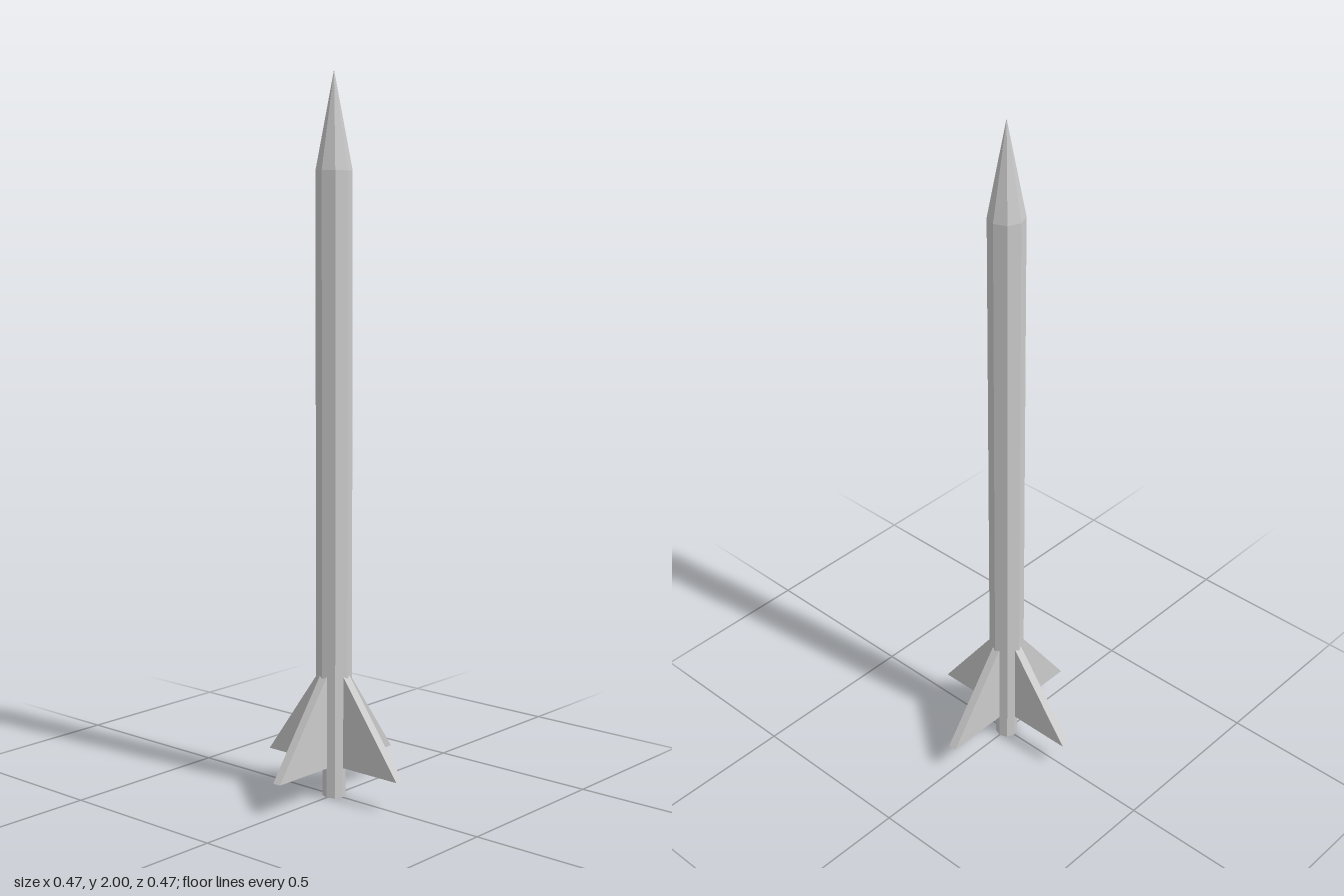
import * as THREE from 'three';

export function createModel() {
  const model = new THREE.Group();
  const material = new THREE.MeshStandardMaterial({ color: 0xcccccc, flatShading: true });

  // Eight-sided section standing between two heights
  function section(name, topRadius, bottomRadius, bottom, top, open = false) {
    const geometry = new THREE.CylinderGeometry(topRadius, bottomRadius, top - bottom, 8, 1, open);
    const mesh = new THREE.Mesh(geometry, material);
    mesh.name = name;
    mesh.position.y = (bottom + top) / 2;
    model.add(mesh);
  }

  section('nozzle', 0.032, 0.032, 0, 0.09);
  section('body', 0.05, 0.05, 0.09, 1.735);
  section('noseCone', 0, 0.05, 1.735, 2, true);

  // Four swept triangular fins, rooted just inside the body
  const thickness = 0.025;
  const outline = new THREE.Shape([
    new THREE.Vector2(0.042, 0.09),
    new THREE.Vector2(0.236, 0.09),
    new THREE.Vector2(0.046, 0.35),
    new THREE.Vector2(0.042, 0.35),
  ]);
  const finGeometry = new THREE.ExtrudeGeometry(outline, { depth: thickness, bevelEnabled: false });
  finGeometry.translate(0, 0, -thickness / 2);
  for (let i = 0; i < 4; i++) {
    const fin = new THREE.Mesh(finGeometry, material);
    fin.name = 'fin' + (i + 1);
    fin.rotation.y = (i * Math.PI) / 2;
    model.add(fin);
  }

  return model;
}
